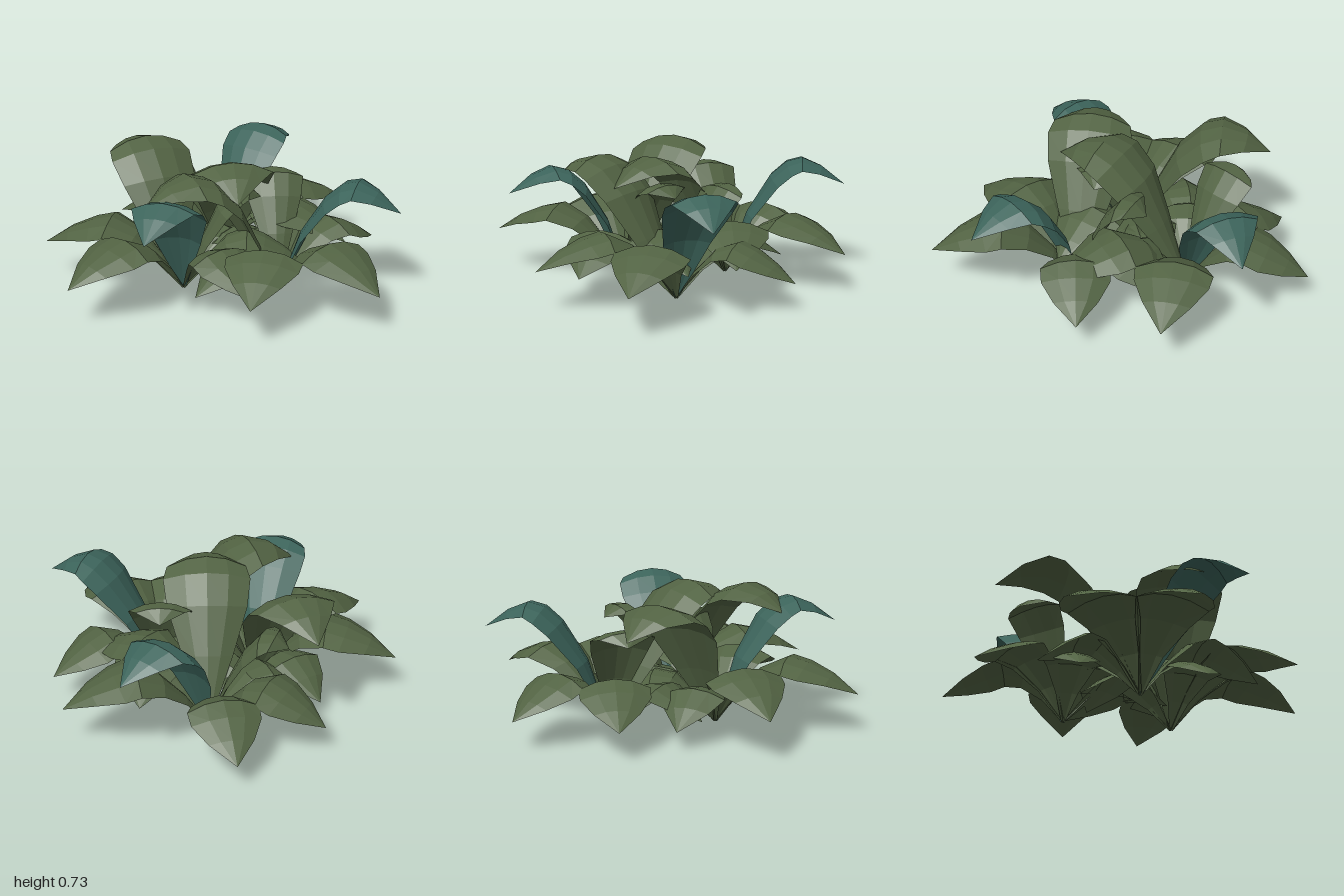
import * as THREE from 'three';

const green = new THREE.MeshStandardMaterial({ color: 0x526343, flatShading: true, side: THREE.DoubleSide });
green.name = 'leafGreen';
const teal = new THREE.MeshStandardMaterial({ color: 0x3c645b, flatShading: true, side: THREE.DoubleSide });
teal.name = 'leafTeal';

// Midrib rows: [distance from root, height, half width, optional sideways sway]
const profiles = {
  tallTeal: [[0, 0, 0.01], [0.12, 0.35, 0.13, -0.015], [0.25, 0.56, 0.19, -0.03], [0.34, 0.64, 0.195, -0.03], [0.43, 0.665, 0.17, -0.025], [0.54, 0.62, 0.115, -0.015], [0.67, 0.52, 0]],
  tallWide: [[0, 0, 0.01], [0.14, 0.32, 0.135], [0.26, 0.56, 0.215], [0.39, 0.69, 0.235], [0.51, 0.73, 0.215], [0.65, 0.69, 0.135], [0.78, 0.59, 0]],
  tallShort: [[0, 0, 0.01], [0.1, 0.28, 0.09], [0.19, 0.47, 0.15], [0.28, 0.58, 0.17], [0.36, 0.585, 0.13], [0.43, 0.52, 0]],
  lowLong: [[0, 0, 0.01], [0.12, 0.18, 0.07], [0.25, 0.32, 0.15], [0.4, 0.395, 0.205], [0.51, 0.37, 0.195], [0.64, 0.315, 0.125], [0.78, 0.22, 0]],
  lowMedium: [[0, 0, 0.01], [0.11, 0.17, 0.07], [0.23, 0.3, 0.145], [0.35, 0.345, 0.185], [0.45, 0.305, 0.18], [0.56, 0.24, 0.115], [0.67, 0.155, 0]],
  lowShort: [[0, 0, 0.01], [0.1, 0.13, 0.06], [0.22, 0.25, 0.13], [0.34, 0.27, 0.17], [0.46, 0.2, 0.12], [0.57, 0.1, 0]],
};

// Leaf layout of one plant: [profile, angle in degrees, material]
const layout = [
  ['tallTeal', 0, teal],
  ['tallWide', 139, green],
  ['tallShort', -112, green],
  ['lowLong', 33, green],
  ['lowLong', 85, green],
  ['lowShort', 125, green],
  ['lowShort', -155, green],
  ['lowMedium', -103, green],
  ['lowMedium', -52, green],
];

// Faceted blade whose edges bend away from the midrib
function leafGeometry(rows) {
  const across = [-1, -0.5, 0, 0.5, 1];
  const n = across.length;
  const positions = [];
  const index = [];
  rows.forEach(([r, y, w, sway = 0], i) => {
    const a = rows[Math.max(i - 1, 0)];
    const b = rows[Math.min(i + 1, rows.length - 1)];
    const len = Math.hypot(b[0] - a[0], b[1] - a[1]);
    const nx = -(b[1] - a[1]) / len;
    const ny = (b[0] - a[0]) / len;
    for (const t of across) {
      const bend = 0.28 * w * t * t;
      positions.push(r - nx * bend, y - ny * bend, t * w + sway);
    }
    if (i === rows.length - 1) return;
    for (let j = 0; j < n - 1; j++) {
      const p = i * n + j;
      index.push(p, p + 1, p + n);
      // The last row closes to a point
      if (i < rows.length - 2) index.push(p + 1, p + n + 1, p + n);
    }
  });
  const geometry = new THREE.BufferGeometry();
  geometry.setAttribute('position', new THREE.Float32BufferAttribute(positions, 3));
  geometry.setIndex(index);
  geometry.computeVertexNormals();
  return geometry;
}

export function createModel() {
  const model = new THREE.Group();
  model.name = 'leafyPlants';
  const geometries = {};
  for (const key in profiles) geometries[key] = leafGeometry(profiles[key]);

  // Three turned copies of the same plant: [x, z, turn]
  const plants = [[-0.38, -0.285, -101], [-0.16, 0.235, 58.7], [0.205, -0.14, -29.2]];
  plants.forEach(([x, z, turn], i) => {
    const plant = new THREE.Group();
    plant.name = `plant${i + 1}`;
    plant.position.set(x, 0, z);
    plant.rotation.y = -THREE.MathUtils.degToRad(turn);
    layout.forEach(([kind, angle, material]) => {
      const leaf = new THREE.Mesh(geometries[kind], material);
      leaf.name = `${kind}Leaf`;
      leaf.rotation.y = -THREE.MathUtils.degToRad(angle);
      plant.add(leaf);
    });
    model.add(plant);
  });
  return model;
}
